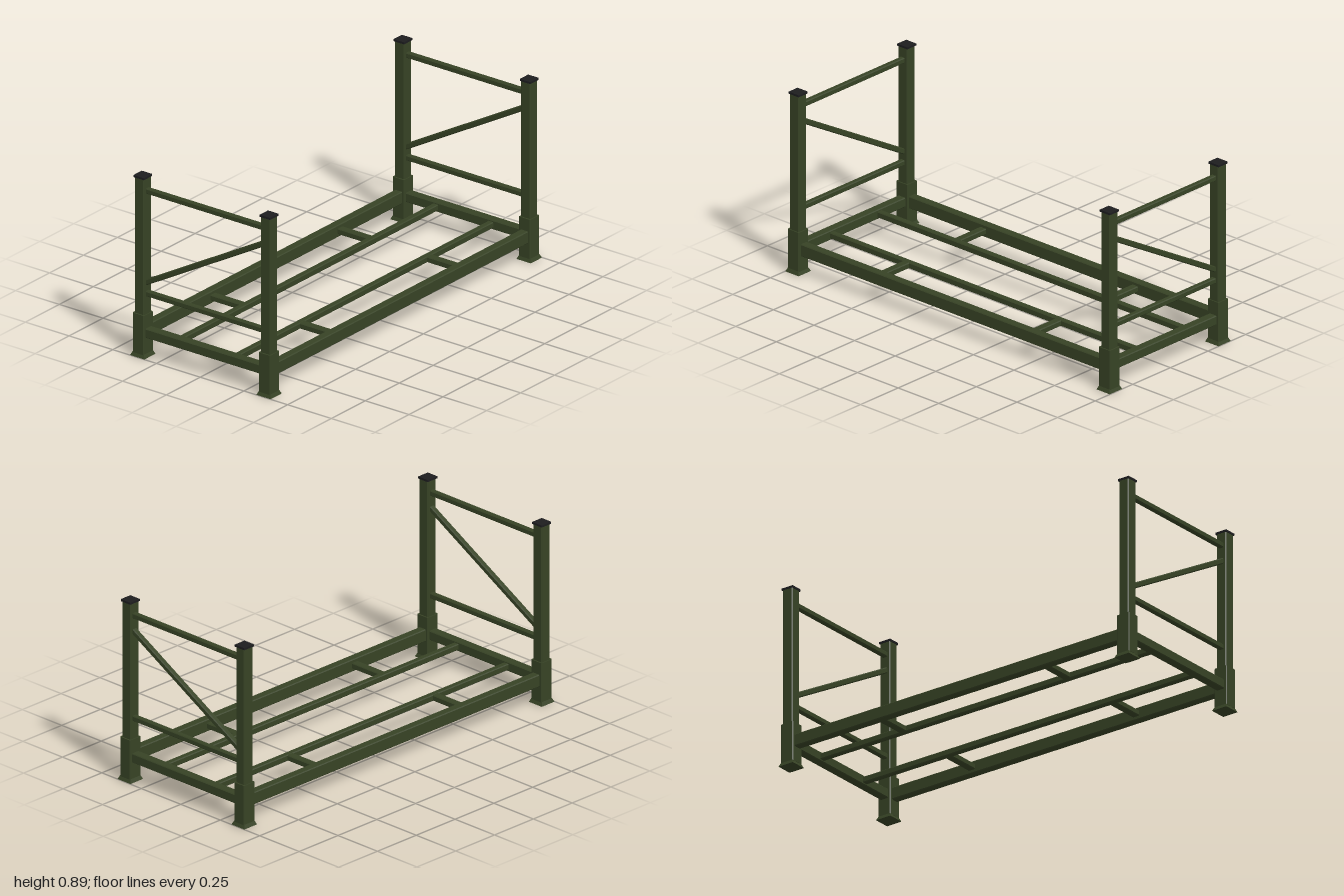
import * as THREE from 'three';

const green = new THREE.MeshStandardMaterial({ color: 0x374325 });
green.name = 'olive green paint';
const black = new THREE.MeshStandardMaterial({ color: 0x1d1d1f });
black.name = 'black cap';

const POST_X = 0.958, POST_Z = 0.361;

// Rectangular steel tube with slightly chamfered edges, running along +z
function tubeGeometry(w, h, length, c = 0.004) {
  const x = w / 2, y = h / 2;
  const profile = new THREE.Shape([
    [-x + c, -y], [x - c, -y], [x, -y + c], [x, y - c],
    [x - c, y], [-x + c, y], [-x, y - c], [-x, -y + c],
  ].map(([a, b]) => new THREE.Vector2(a, b)));
  return new THREE.ExtrudeGeometry(profile, { depth: length, bevelEnabled: false });
}

// Tube of width w and height h between two points
function bar(name, from, to, w, h) {
  const a = new THREE.Vector3(...from), b = new THREE.Vector3(...to);
  const mesh = new THREE.Mesh(tubeGeometry(w, h, a.distanceTo(b)), green);
  mesh.position.copy(a);
  mesh.lookAt(b);
  mesh.name = name;
  return mesh;
}

// Upright tube, from y0 to y1
function upright(name, w, d, y0, y1) {
  const mesh = new THREE.Mesh(tubeGeometry(w, d, y1 - y0), green);
  mesh.rotation.x = -Math.PI / 2;
  mesh.position.y = y0;
  mesh.name = name;
  return mesh;
}

// Corner post: flared foot, sleeve, tube and cap
function cornerPost() {
  const post = new THREE.Group();
  post.name = 'cornerPost';
  const flare = new THREE.CylinderGeometry(0.066 / Math.SQRT2, 0.082 / Math.SQRT2, 0.018, 4).toNonIndexed();
  flare.rotateY(Math.PI / 4);
  flare.computeVertexNormals();
  const foot = new THREE.Mesh(flare, green);
  foot.position.y = 0.009;
  foot.name = 'flaredFoot';
  const cap = new THREE.Mesh(new THREE.BoxGeometry(0.062, 0.01, 0.06), black);
  cap.position.y = 0.884;
  cap.name = 'postCap';
  post.add(foot, upright('sleeve', 0.07, 0.066, 0.016, 0.21), upright('postTube', 0.055, 0.055, 0.2, 0.88), cap);
  return post;
}

export function createModel() {
  const rack = new THREE.Group();
  rack.name = 'stackingRack';

  for (const s of [-1, 1]) {
    for (const t of [-1, 1]) {
      const post = cornerPost();
      post.position.set(s * POST_X, 0, t * POST_Z);
      rack.add(post);
      // Short ties between the side beam and the inner rail
      rack.add(bar('tie', [s * 0.468, 0.12, t * 0.165], [s * 0.468, 0.12, t * 0.345], 0.038, 0.028));
    }

    // End frame: base beam, two rails and a diagonal brace
    const x = s * POST_X;
    rack.add(bar('endBeam', [x, 0.12, -0.335], [x, 0.12, 0.335], 0.044, 0.046));
    for (const y of [0.311, 0.818]) {
      rack.add(bar('endRail', [x, y, -0.335], [x, y, 0.335], 0.026, 0.026));
    }
    rack.add(bar('diagonalBrace', [x, 0.364, -0.338], [x, 0.741, 0.338], 0.026, 0.026));

    // Long side beam and inner floor rail
    rack.add(bar('sideBeam', [-0.925, 0.12, s * 0.36], [0.925, 0.12, s * 0.36], 0.042, 0.06));
    rack.add(bar('floorRail', [-0.94, 0.12, s * 0.158], [0.94, 0.12, s * 0.158], 0.03, 0.03));
  }
  return rack;
}
